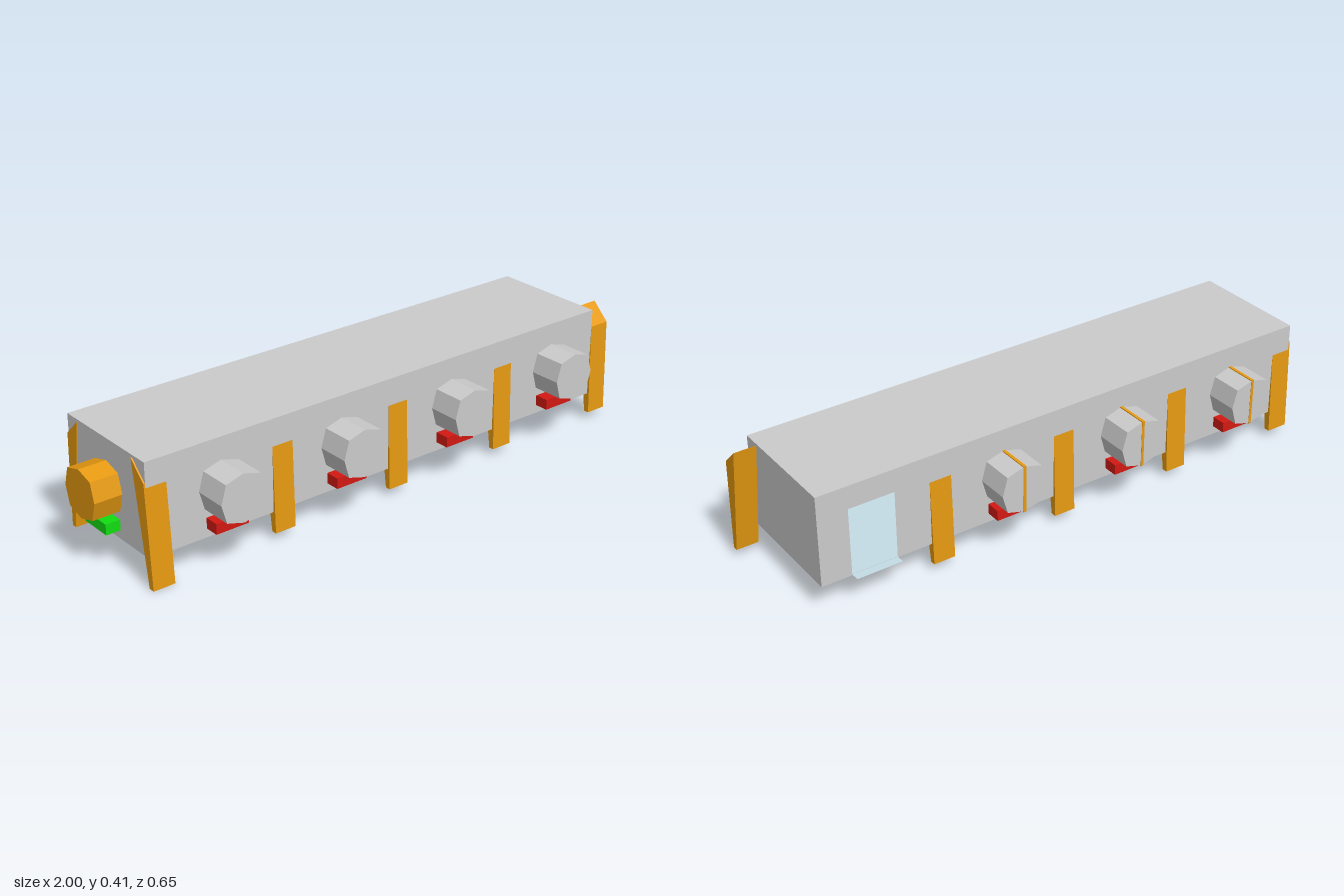
import * as THREE from 'three';

const mat = (color, side = THREE.FrontSide) =>
  new THREE.MeshStandardMaterial({ color, side, flatShading: true });

export function createModel() {
  const model = new THREE.Group();
  const grey = mat(0xcccccc), greyThin = mat(0xcccccc, THREE.DoubleSide);
  const orange = mat(0xe69a11), red = mat(0xd31912), green = mat(0x12dd12);
  const blue = mat(0xc4dde6, THREE.DoubleSide);

  const add = (name, geometry, material, x = 0, y = 0, z = 0) => {
    const mesh = new THREE.Mesh(geometry, material);
    mesh.name = name;
    mesh.position.set(x, y, z);
    model.add(mesh);
    return mesh;
  };
  const polygon = pts => new THREE.Shape(pts.map(p => new THREE.Vector2(...p)));
  const rect = (x0, y0, x1, y1) => polygon([[x0, y0], [x1, y0], [x1, y1], [x0, y1]]);
  const extrude = (shape, depth) =>
    new THREE.ExtrudeGeometry(shape, { depth, bevelEnabled: false });

  // Hollow hall: thin walls, roof and floor
  const X0 = -0.905, X1 = 0.922, Y0 = 0.098, Y1 = 0.413, Z = 0.21;
  const L = X1 - X0, H = Y1 - Y0, cx = (X0 + X1) / 2, cy = (Y0 + Y1) / 2;
  add('frontWall', new THREE.PlaneGeometry(L, H), greyThin, cx, cy, Z);
  const back = rect(X0, Y0, X1, Y1);
  back.holes.push(rect(0.66, Y0 + 0.004, 0.818, 0.334)); // doorway
  add('backWall', new THREE.ShapeGeometry(back).rotateY(Math.PI).scale(-1, 1, 1), greyThin, 0, 0, -Z);
  for (const [name, x, turn] of [['leftWall', X1, 1], ['rightWall', X0, -1]])
    add(name, new THREE.PlaneGeometry(2 * Z, H).rotateY(turn * Math.PI / 2), greyThin, x, cy, 0);
  add('roof', new THREE.PlaneGeometry(L, 2 * Z).rotateX(-Math.PI / 2), greyThin, cx, Y1, 0);
  add('floor', new THREE.PlaneGeometry(L, 2 * Z).rotateX(-Math.PI / 2), blue, cx, Y0, 0);
  add('doorStep', new THREE.PlaneGeometry(0.158, 0.03).rotateX(-Math.PI / 2), blue, 0.739, Y0 + 0.003, -Z - 0.015);

  // Eight-sided pods with a red block below each
  const r = 0.081, d = 0.063, podY = 0.257;
  const octagon = polygon([[r, 0], [d, d], [0, r], [-d, d], [-r, 0], [-d, -d], [0, -r], [d, -d]]);
  const podGeo = extrude(octagon, 0.113);
  const blockGeo = new THREE.BoxGeometry(0.117, 0.036, 0.05);
  const stripeGeo = new THREE.BoxGeometry(0.01, 2 * r + 0.003, 0.1145);
  [-0.642, -0.186, 0.27, 0.726].forEach((x, i) => {
    add('frontPod', podGeo, grey, x, podY, Z);
    add('frontBlock', blockGeo, red, x, 0.146, Z + 0.025);
    if (i === 3) return; // the doorway takes this bay
    add('backPod', podGeo, grey, x, podY, -Z - 0.113);
    add('backPodStripe', stripeGeo, orange, x, podY, -Z - 0.0568);
    add('backBlock', blockGeo, red, x, 0.146, -Z - 0.025);
  });

  // End pod and its green block
  add('endPod', extrude(octagon, 0.095).rotateY(-Math.PI / 2), orange, X0, podY, 0);
  add('endBlock', new THREE.BoxGeometry(0.05, 0.036, 0.117), green, X0 - 0.025, 0.146, 0);

  // Leaning legs: profile given as (z, y), extruded along x
  const legGeo = pts =>
    extrude(polygon(pts.map(([z, y]) => [-z, y])), 0.076).rotateY(Math.PI / 2).translate(-0.038, 0, 0);
  const leg = legGeo([[0.22, 0.027], [0.209, 0.35], [0.147, 0.409], [0.201, 0.027]]);
  const cornerLeg = legGeo([[0.232, 0], [0.209, 0.345], [0.147, 0.405], [0.211, 0]]);
  add('cornerLeg', cornerLeg, orange, -0.872);
  for (const x of [-0.416, 0.042, 0.5, 0.961]) add('frontLeg', leg, orange, x);
  for (const x of [-0.872, -0.416, 0.042, 0.5])
    add('backLeg', leg, orange, x).rotation.y = Math.PI;

  return model;
}
